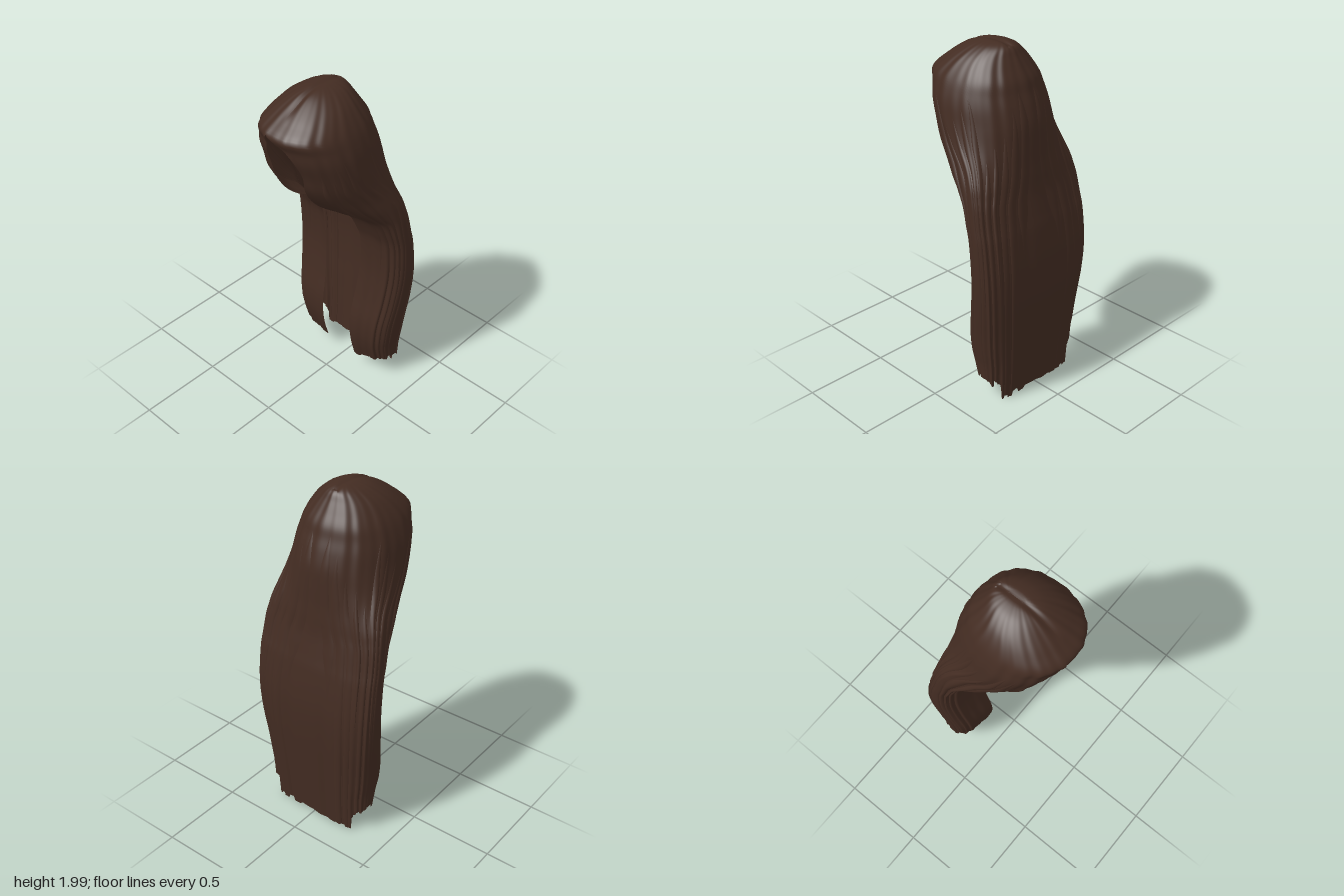
import * as THREE from 'three';

// Egg-shaped open cross-sections from crown to tips:
// [height, half width, back z, widest z, front z, squareness, half opening]
const SECTIONS = [
  [2.0, 0, -0.03, 0.01, 0.05, 2, 0],
  [1.99, 0.06, -0.08, 0.02, 0.11, 2, 0],
  [1.97, 0.113, -0.115, 0.03, 0.17, 2, 0],
  [1.93, 0.17, -0.14, 0.05, 0.24, 2, 0],
  [1.88, 0.215, -0.17, 0.07, 0.31, 2.1, 0],
  [1.82, 0.253, -0.205, 0.08, 0.378, 2.2, 0],
  [1.76, 0.278, -0.225, 0.08, 0.36, 2.2, 0.06],
  [1.69, 0.297, -0.25, 0.07, 0.345, 2.2, 0.1],
  [1.6, 0.31, -0.272, 0.04, 0.31, 2.2, 0.115],
  [1.5, 0.324, -0.28, -0.03, 0.28, 2.2, 0.105],
  [1.4, 0.345, -0.285, -0.12, 0.215, 2.2, 0.1],
  [1.32, 0.366, -0.292, -0.17, 0.13, 2.3, 0.105],
  [1.26, 0.376, -0.297, -0.19, 0.04, 2.5, 0.115],
  [1.2, 0.383, -0.305, -0.205, -0.045, 2.8, 0.12],
  [1.1, 0.39, -0.325, -0.22, -0.1, 3, 0.13],
  [1.0, 0.394, -0.345, -0.24, -0.13, 3.2, 0.14],
  [0.8, 0.393, -0.368, -0.255, -0.14, 3.4, 0.135],
  [0.6, 0.379, -0.368, -0.245, -0.118, 3.5, 0.12],
  [0.4, 0.357, -0.355, -0.22, -0.085, 3.5, 0.11],
  [0.2, 0.337, -0.34, -0.22, -0.098, 3.5, 0.11],
  [0.0, 0.33, -0.325, -0.23, -0.135, 3.5, 0.11],
];
const LAST = SECTIONS.length - 1;
const spline = new THREE.CubicInterpolant(SECTIONS.map((_, i) => i), SECTIONS.flat(), 7);

// Repeatable noise in 0..1
const noise = (n) => {
  const v = Math.sin(n * 127.1 + 11.7) * 43758.5453;
  return v - Math.floor(v);
};
const power = (v, p) => Math.sign(v) * Math.abs(v) ** p;

// Ragged height of the ends: long back panel, shorter sides and front locks
function tipHeight(s) {
  const a = Math.abs(s);
  const jag = noise(Math.floor((s + 1) * 22)) ** 2;
  if (a < 0.26) return 0.035 * jag;
  return 0.08 + 0.05 * Math.sin(Math.PI * (a - 0.26) / 0.74) + 0.04 * jag;
}

// Point on the hair: s runs -1..1 from one front edge round the back to the other, t down the sections
function hairPoint(s, t, lift = 0) {
  let [y, w, back, mid, front, n, open] = spline.evaluate(t);
  w = Math.max(w, 0);
  // the top of the face opening is pulled off centre
  const shift = -0.06 * Math.exp(-(((y - 1.82) / 0.05) ** 2));
  const edge = w > 0.01 ? THREE.MathUtils.clamp((Math.max(open, 0) + Math.sign(s) * shift) / w, -1, 1) : 0;
  const angle = s * (Math.PI - Math.asin(power(edge, n / 2)));
  // shallow strand ripples, fading out at the crown
  const ripple = (0.002 * Math.cos(angle * 15 + t * 0.1 * Math.sin(angle)) + 0.0015 * Math.cos(angle * 26)) * Math.min(1, w / 0.25);
  const out = lift + ripple;
  const x = (w + out) * power(Math.sin(angle), 2 / n);
  const c = Math.cos(angle);
  const z = mid - ((c > 0 ? mid - back : front - mid) + out) * power(c, 2 / n);
  if (y < 0.3) y = 0.3 - (0.3 - y) * (0.3 - tipHeight(s)) / 0.3;
  // small dip along the parting
  if (z > -0.1) y -= 0.01 * Math.exp(-((x / 0.018) ** 2)) * THREE.MathUtils.smoothstep(y, 1.88, 1.96);
  return [x, y, z];
}

// Grid surface from a point rule
function surface(cols, rows, rule) {
  const pos = [], index = [];
  for (let j = 0; j <= rows; j++) {
    for (let i = 0; i <= cols; i++) {
      pos.push(...rule(i / cols, j / rows));
      if (i === cols || j === rows) continue;
      const a = j * (cols + 1) + i, b = a + cols + 1;
      index.push(a, a + 1, b, a + 1, b + 1, b);
    }
  }
  const g = new THREE.BufferGeometry();
  g.setAttribute('position', new THREE.Float32BufferAttribute(pos, 3));
  g.setIndex(index);
  g.computeVertexNormals();
  return g;
}

export function createModel() {
  const model = new THREE.Group();
  model.name = 'longHair';
  const brown = new THREE.MeshStandardMaterial({ color: 0x432c22, side: THREE.DoubleSide });
  brown.name = 'dark brown hair';
  const add = (name, geometry) => {
    const mesh = new THREE.Mesh(geometry, brown);
    mesh.name = name;
    model.add(mesh);
  };

  // Main fall of hair with the face opening
  add('hairFall', surface(176, 100, (u, v) => hairPoint(u * 2 - 1, v * LAST)));

  // Raised tapering locks layered over the fall, in mirrored pairs
  for (let k = 0; k < 13; k++) {
    const centre = 0.06 + k * 0.067;
    const half = 0.022 + 0.014 * noise(k);
    const start = 4.5 + 6 * noise(k + 30);
    const end = k % 3 === 0 ? 15 + 3 * noise(k + 60) : LAST;
    for (const side of [-1, 1]) {
      add(side > 0 ? 'leftLock' : 'rightLock', surface(8, 44, (u, v) => {
        const q = u * 2 - 1;
        const taper = Math.min(1, 0.1 + 4 * v, end < LAST ? 0.1 + 4 * (1 - v) : 1);
        const lift = 0.008 * (1 - q * q) * taper - 0.002;
        return hairPoint(side * (centre + half * q * taper), start + (end - start) * v, lift);
      }));
    }
  }
  return model;
}
